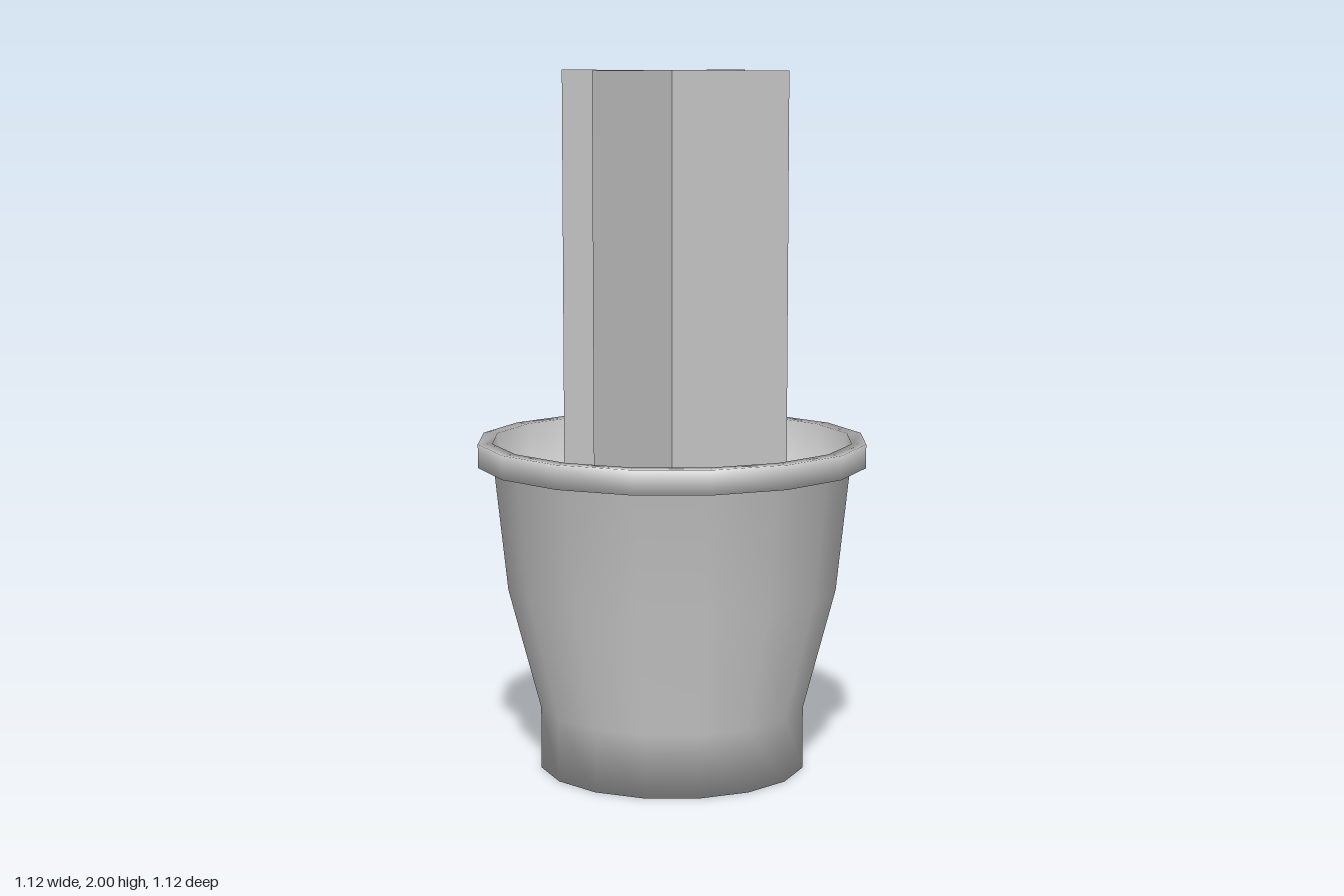
import * as THREE from 'three';

const SIDES = 16;
const SOIL_Y = 0.74;

function lathe(name, points, material) {
  const profile = points.map(([r, y]) => new THREE.Vector2(r, y));
  const mesh = new THREE.Mesh(new THREE.LatheGeometry(profile, SIDES), material);
  mesh.name = name;
  return mesh;
}

export function createModel() {
  const group = new THREE.Group();
  group.name = 'pottedPlant';
  const potMaterial = new THREE.MeshStandardMaterial({ color: 0xcccccc });
  const leafMaterial = new THREE.MeshStandardMaterial({ color: 0xcccccc, side: THREE.DoubleSide });

  // Pot: base, flared wall, overhanging rim, inner wall and soil in one smooth skin
  group.add(lathe('pot', [
    [0, 0], [0.385, 0], [0.385, 0.18], [0.477, 0.53], [0.515, 0.885],
    [0.56, 0.885], [0.56, 0.953], [0.518, 0.953], [0.495, SOIL_Y], [0, SOIL_Y],
  ], potMaterial));

  // Foliage: two crossed upright cards standing on the soil
  const foliage = new THREE.Group();
  foliage.name = 'foliage';
  const height = 2 - SOIL_Y;
  for (let i = 0; i < 2; i++) {
    const card = new THREE.Mesh(new THREE.PlaneGeometry(0.77, height), leafMaterial);
    card.name = 'foliageCard';
    card.position.y = SOIL_Y + height / 2;
    card.rotation.y = i * Math.PI / 2;
    foliage.add(card);
  }
  group.add(foliage);
  return group;
}
